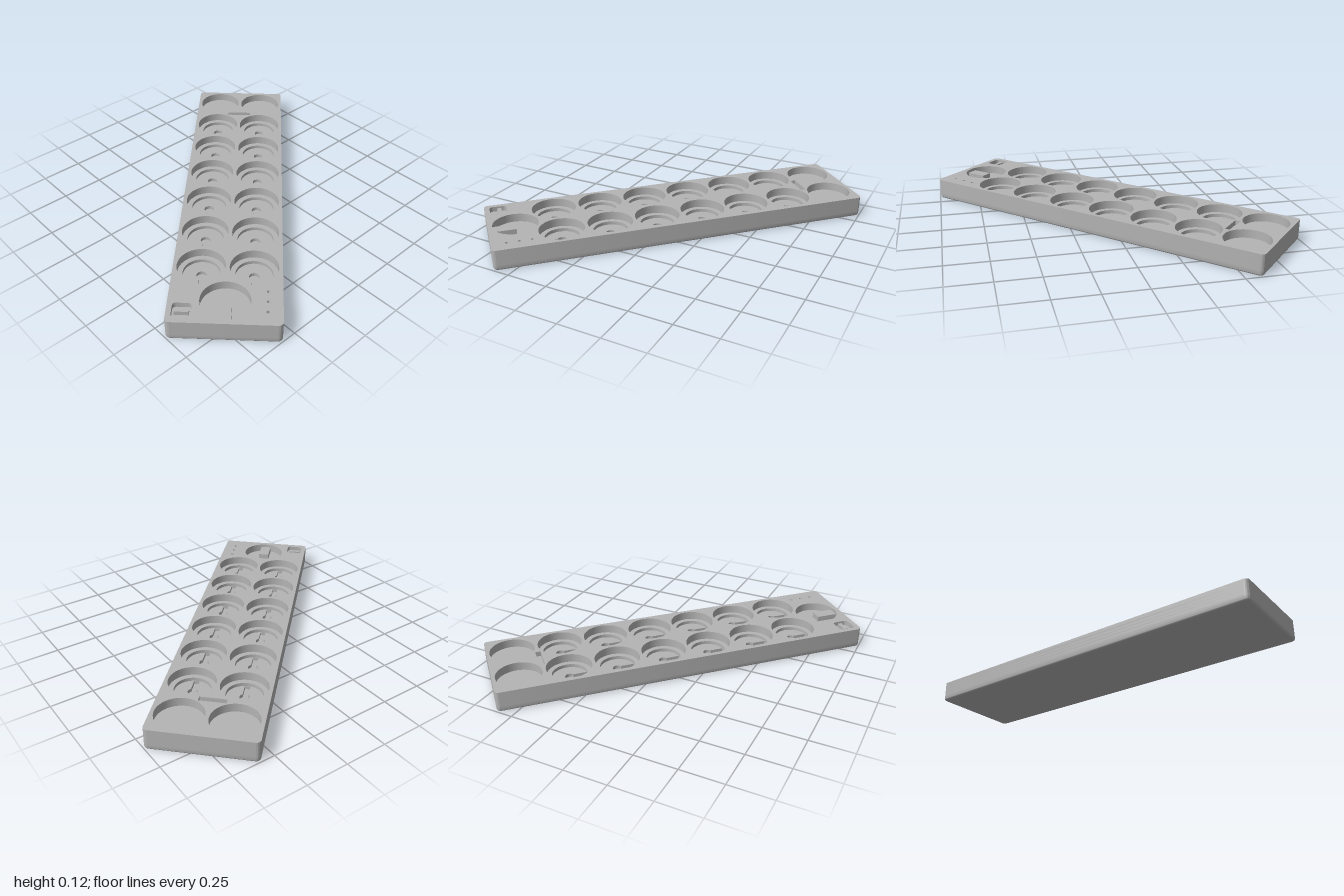
import * as THREE from 'three';
import { toCreasedNormals } from 'three/addons/utils/BufferGeometryUtils.js';

const H = 0.125, HALF_L = 1.128, HALF_W = 0.294, CORNER = 0.025, FILLET = 0.016;

// Closed outlines; x runs along the tray, y across it
function roundRect(target, cx, cy, hx, hy, r) {
  target.absarc(cx + hx - r, cy + hy - r, r, 0, Math.PI / 2);
  target.absarc(cx - hx + r, cy + hy - r, r, Math.PI / 2, Math.PI);
  target.absarc(cx - hx + r, cy - hy + r, r, Math.PI, Math.PI * 1.5);
  target.absarc(cx + hx - r, cy - hy + r, r, Math.PI * 1.5, Math.PI * 2);
  target.closePath();
  return target;
}
const circle = (x, y, r) => new THREE.Path().absarc(x, y, r, 0, Math.PI * 2);
function rect(x, y, hx, hy) {
  return new THREE.Path([[-hx, -hy], [hx, -hy], [hx, hy], [-hx, hy], [-hx, -hy]]
    .map(([a, b]) => new THREE.Vector2(x + a, y + b)));
}
function keyhole(x, y) {
  const r = 0.028, h = 0.015, a = Math.asin(h / r);
  const p = new THREE.Path().absarc(x, y, r, a, Math.PI * 2 - a);
  p.lineTo(x + 0.1, y - h);
  p.lineTo(x + 0.1, y + h);
  p.closePath();
  return p;
}

function extrude(shape, y0, y1, segments = 24) {
  const g = new THREE.ExtrudeGeometry(shape, { depth: y1 - y0, bevelEnabled: false, curveSegments: segments });
  g.rotateX(-Math.PI / 2).translate(0, y0, 0);
  return toCreasedNormals(g, 0.6);
}

// Solid foot with a rounded lower edge, lofted from inset outlines
function footGeometry(top) {
  const steps = 6, rings = [];
  const outline = (inset) => roundRect(new THREE.Shape(), 0, 0, HALF_L - inset, HALF_W - inset, CORNER - inset);
  for (let i = 0; i <= steps; i++) {
    const a = (i / steps) * Math.PI / 2;
    rings.push([FILLET * (1 - Math.sin(a)), FILLET * (1 - Math.cos(a))]);
  }
  rings.push([0, top]);
  const positions = [], index = [];
  let n = 0;
  rings.forEach(([inset, y]) => {
    const pts = outline(inset).getPoints(6);
    n = pts.length;
    pts.forEach((p) => positions.push(p.x, y, -p.y));
  });
  for (let j = 0; j < rings.length - 1; j++) {
    for (let i = 0; i < n - 1; i++) {
      const a = j * n + i, b = a + n;
      index.push(a, a + 1, b + 1, a, b + 1, b);
    }
  }
  const side = new THREE.BufferGeometry();
  side.setAttribute('position', new THREE.Float32BufferAttribute(positions, 3));
  side.setIndex(index);
  const bottom = new THREE.ShapeGeometry(outline(FILLET), 6).rotateX(Math.PI / 2);
  return [toCreasedNormals(side, 0.6), bottom];
}

export function createModel() {
  const grey = new THREE.MeshStandardMaterial({ color: 0xb4b4b4 });
  grey.name = 'plain grey';
  const model = new THREE.Group();
  model.name = 'tray';
  const body = new THREE.Group();
  body.name = 'trayBody';
  body.rotation.y = -Math.PI / 4;
  model.add(body);
  const add = (name, geometry) => {
    const mesh = new THREE.Mesh(geometry, grey);
    mesh.name = name;
    body.add(mesh);
  };

  // Pockets: each a list of [outline maker, floor height], widest first
  const levels = [0.035, 0.055, 0.075, 0.095, H];
  const pockets = [];
  for (const y of [-0.142, 0.142]) {
    // open cups at the far end
    pockets.push([[() => circle(-0.977, y, 0.132), 0.075]]);
    // stepped wells with a keyhole in the floor
    for (let i = 0; i < 6; i++) {
      const x = -0.693 + 0.2835 * i;
      pockets.push([
        [() => circle(x, y, 0.132), 0.075],
        [() => circle(x, y, 0.102), 0.055],
        [() => keyhole(x, y), 0.035],
      ]);
    }
  }
  pockets.push([[() => rect(-0.836, 0, 0.016, 0.075), 0.095]]); // cross slot
  pockets.push([[() => circle(0.969, 0, 0.132), 0.075]]); // dial recess
  pockets.push([[() => roundRect(new THREE.Path(), 1.047, -0.216, 0.05, 0.05, 0.02), 0.095]]); // switch recess
  for (const x of [0.9, 0.97, 1.04]) pockets.push([[() => circle(x, 0.218, 0.009), 0.095]]); // pin holes

  // Body built in layers, each pierced by the pockets that reach it
  for (let k = 0; k < levels.length - 1; k++) {
    const y0 = levels[k];
    const shape = roundRect(new THREE.Shape(), 0, 0, HALF_L, HALF_W, CORNER);
    for (const steps of pockets) {
      const step = steps.find(([, floor]) => floor <= y0 + 1e-6);
      if (step) shape.holes.push(step[0]());
    }
    add('bodyLayer' + (k + 1), extrude(shape, y0, levels[k + 1]));
  }

  // Solid floor under the pockets
  const [side, bottom] = footGeometry(levels[0]);
  add('footSide', side);
  add('footBottom', bottom);
  const floor = new THREE.ShapeGeometry(roundRect(new THREE.Shape(), 0, 0, HALF_L, HALF_W, CORNER), 6);
  add('keyholeFloor', floor.rotateX(-Math.PI / 2).translate(0, levels[0], 0));

  // Raised block in the dial recess and bar in the switch recess
  const block = new THREE.BoxGeometry(0.13, 0.032, 0.068);
  add('dialBlock', block.translate(1.033, 0.091, 0));
  const bar = new THREE.BoxGeometry(0.024, 0.024, 0.076);
  add('switchBar', bar.translate(1.04, 0.107, 0.216));

  return model;
}
